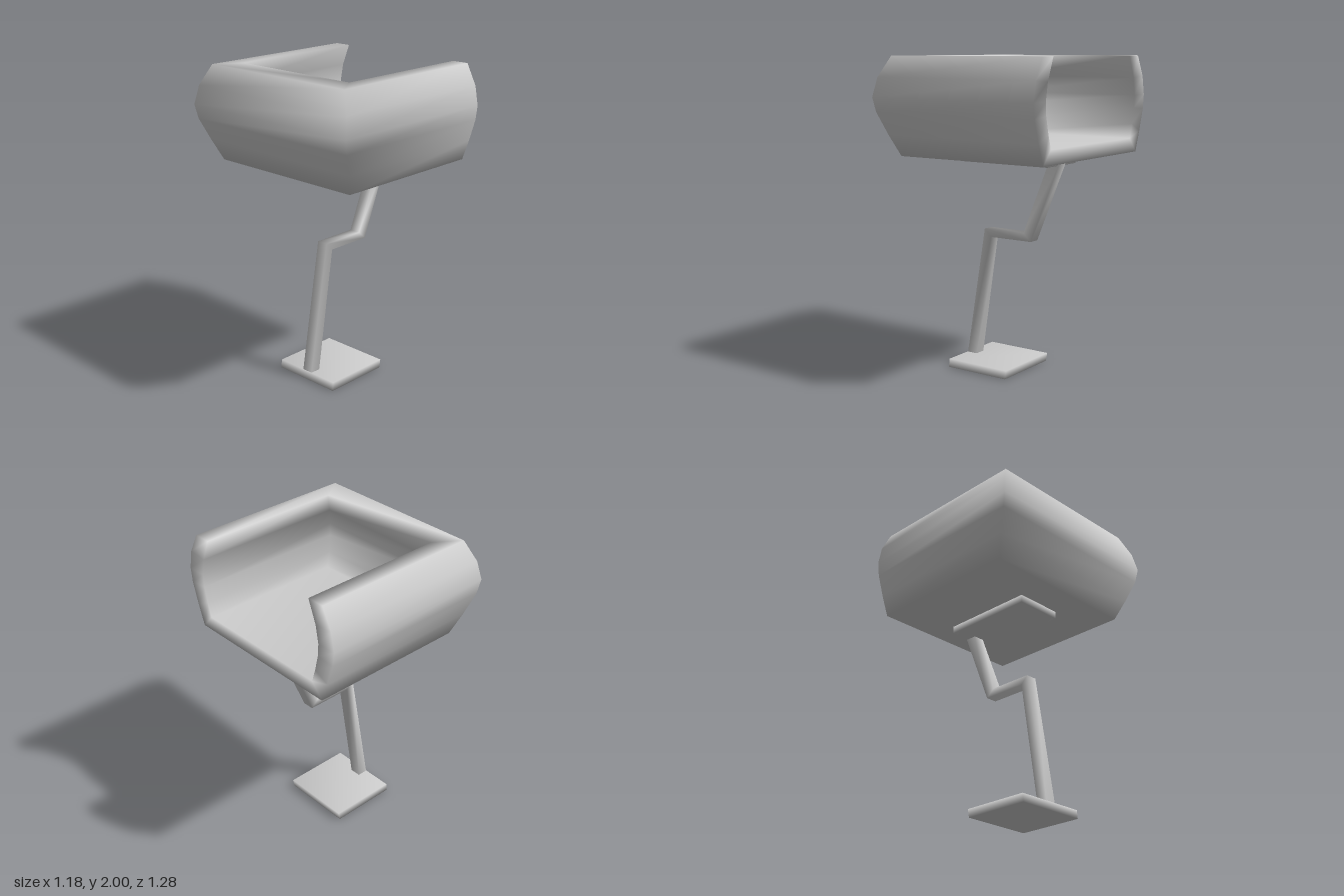
import * as THREE from 'three';

const material = new THREE.MeshStandardMaterial({ color: 0xcccccc });

// Smoothly shaded mesh from points and quads given as corner indices
function quadMesh(name, points, quads) {
  const geometry = new THREE.BufferGeometry();
  geometry.setAttribute('position', new THREE.Float32BufferAttribute(points.flat(), 3));
  geometry.setIndex(quads.flatMap(([a, b, c, d]) => [a, b, c, a, c, d]));
  geometry.computeVertexNormals();
  const mesh = new THREE.Mesh(geometry, material);
  mesh.name = name;
  return mesh;
}

// Four-cornered ring: right side (x, y), left side (x, y), back z and front z
const ring = ([xr, yr], [xl, yl], zb, zf) => [[xr, yr, zb], [xl, yl, zb], [xl, yl, zf], [xr, yr, zf]];

// Skin over a stack of rings with closed ends; sides = 3 leaves the +x side open
function loftQuads(count, sides = 4) {
  const quads = [[3, 2, 1, 0]];
  for (let i = 0; i < count - 1; i++) {
    for (let j = 0; j < sides; j++) {
      const k = (j + 1) % 4;
      quads.push([i * 4 + j, i * 4 + k, i * 4 + 4 + k, i * 4 + 4 + j]);
    }
  }
  const e = (count - 1) * 4;
  quads.push([e, e + 1, e + 2, e + 3]);
  return quads;
}

const loft = (name, rings) => quadMesh(name, rings.flat(), loftQuads(rings.length));

// Bulging three-sided tray, open towards +x
function makeShell() {
  const openX = 0.59;
  // [left wall x, half depth, y], from the bottom up
  const outer = [
    [-0.45, 0.54, 1.39], [-0.51, 0.587, 1.52], [-0.57, 0.629, 1.66],
    [-0.59, 0.64, 1.75], [-0.565, 0.617, 1.87], [-0.51, 0.55, 2.0],
  ];
  const inner = [
    [-0.36, 0.46, 1.48], [-0.4, 0.487, 1.57], [-0.43, 0.51, 1.67],
    [-0.435, 0.515, 1.75], [-0.41, 0.495, 1.86], [-0.35, 0.44, 2.0],
  ];
  const levels = [...outer, ...inner.slice().reverse()];
  const rings = levels.map(([x, z, y]) => ring([openX, y], [x, y], -z, z));
  const quads = loftQuads(rings.length, 3);

  // Cut edge of the walls and floor on the open side
  const last = levels.length - 1;
  for (let i = 0; i < outer.length - 1; i++) {
    const o = i * 4, o2 = o + 4, n = (last - i) * 4, n2 = n - 4;
    quads.push([o + 3, n + 3, n2 + 3, o2 + 3], [o2, n2, n, o]);
  }
  quads.push([3, 0, last * 4, last * 4 + 3]);
  return quadMesh('shell', rings.flat(), quads);
}

export function createModel() {
  const model = new THREE.Group();
  model.name = 'trayOnBentLeg';

  model.add(makeShell());

  // Plate below the shell
  model.add(loft('mountingPlate', [
    ring([0.39, 1.34], [-0.24, 1.34], -0.13, 0.19),
    ring([0.39, 1.392], [-0.24, 1.392], -0.13, 0.19),
  ]));

  // Z-shaped square leg, mitred at its two bends
  model.add(loft('bentLeg', [
    ring([-0.235, 0.04], [-0.305, 0.04], 0, 0.075),
    ring([-0.11, 0.85], [-0.16, 0.9], 0, 0.075),
    ring([0.195, 0.85], [0.14, 0.9], 0, 0.075),
    ring([0.4, 1.35], [0.323, 1.35], 0, 0.075),
  ]));

  // Foot plate
  model.add(loft('footPlate', [
    ring([0.135, 0], [-0.31, 0], -0.2, 0.27),
    ring([0.145, 0.055], [-0.305, 0.055], -0.2, 0.27),
  ]));

  return model;
}
